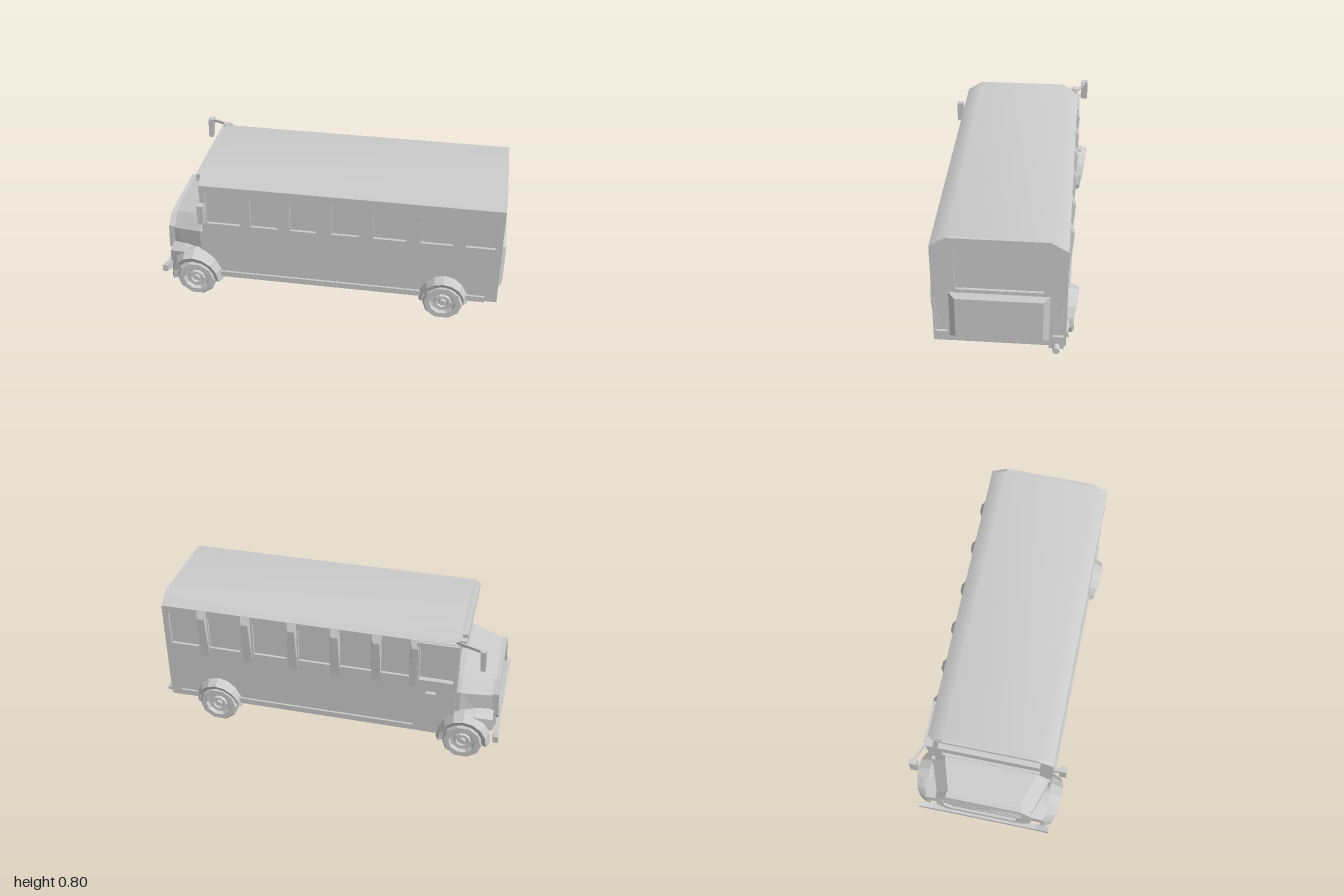
import * as THREE from 'three';

const flat = new THREE.MeshStandardMaterial({ color: 0xcccccc, flatShading: true, side: THREE.DoubleSide });
const smooth = new THREE.MeshStandardMaterial({ color: 0xcccccc, side: THREE.DoubleSide });

function add(parent, name, geometry, material = flat) {
  const mesh = new THREE.Mesh(geometry, material);
  mesh.name = name;
  parent.add(mesh);
  return mesh;
}

// Box given by its limits on each axis
function box(parent, name, x0, x1, y0, y1, z0, z1) {
  const mesh = add(parent, name, new THREE.BoxGeometry(x1 - x0, y1 - y0, z1 - z0));
  mesh.position.set((x0 + x1) / 2, (y0 + y1) / 2, (z0 + z1) / 2);
  return mesh;
}

// Skin between cross-sections with equal point counts
function loft(sections, { closed = true, caps = true } = {}) {
  const n = sections[0].length, index = [];
  for (let s = 0; s < sections.length - 1; s++) {
    for (let i = 0; i < (closed ? n : n - 1); i++) {
      const a = s * n + i, b = s * n + (i + 1) % n;
      index.push(a, b, a + n, b, b + n, a + n);
    }
  }
  if (caps) {
    const last = (sections.length - 1) * n;
    for (let i = 1; i < n - 1; i++) index.push(0, i + 1, i, last, last + i, last + i + 1);
  }
  const g = new THREE.BufferGeometry();
  g.setAttribute('position', new THREE.Float32BufferAttribute(sections.flat(2), 3));
  g.setIndex(index);
  g.computeVertexNormals();
  return g;
}

const poly = (pts) => pts.map(([x, y]) => new THREE.Vector2(x, y));
const rect = (x0, x1, y0, y1) => [[x0, y0], [x1, y0], [x1, y1], [x0, y1]];

// Flat plate with openings
function plate(outline, holes, depth) {
  const shape = new THREE.Shape(poly(outline));
  holes.forEach((h) => shape.holes.push(new THREE.Path(poly(h))));
  return new THREE.ExtrudeGeometry(shape, { depth, bevelEnabled: false });
}

const WINDOWS = [[-0.715, -0.52], [-0.457, -0.30], [-0.23, -0.08], [0.01, 0.165], [0.245, 0.43], [0.51, 0.69], [0.76, 0.925]];
const FAR_WINDOWS = [[-0.72, -0.53], [-0.475, -0.31], [-0.265, -0.075], [-0.03, 0.16], [0.23, 0.425], [0.505, 0.69], [0.755, 0.925]];
const BODY = [[-0.35, 0.13], [0.35, 0.13], [0.35, 0.745], [0.26, 0.8], [-0.26, 0.8], [-0.35, 0.745]];

function buildBody(bus) {
  // Inner core seen through the openings
  const inner = BODY.map(([z, y]) => [z * 0.95, y > 0.7 ? y - 0.012 : y + 0.002]);
  add(bus, 'glassCore', loft([-0.73, 0.945].map((x) => inner.map(([z, y]) => [x, y, z]))));

  // Walls
  [[1, WINDOWS], [-1, FAR_WINDOWS]].forEach(([s, list]) => {
    const wall = plate(rect(-0.73, 0.945, 0.13, 0.745), list.map(([a, b]) => rect(a, b, 0.495, 0.70)), 0.016);
    add(bus, s > 0 ? 'leftWall' : 'rightWall', wall).position.z = s > 0 ? 0.334 : -0.35;
    box(bus, 'skirtRail', -0.66, 0.89, 0.13, 0.165, s * 0.355 - 0.007, s * 0.355 + 0.007);
  });
  const rearHoles = [rect(-0.225, 0.23, 0.48, 0.72), rect(-0.34, -0.275, 0.19, 0.425), rect(0.28, 0.34, 0.19, 0.43)];
  const rear = add(bus, 'rearWall', plate(BODY, rearHoles, 0.015));
  rear.rotation.y = Math.PI / 2;
  rear.position.x = 0.945;
  const front = add(bus, 'windshieldWall', plate(BODY, [rect(-0.28, 0.28, 0.5, 0.71)], 0.015));
  front.rotation.y = -Math.PI / 2;
  front.position.x = -0.73;

  // Roof with softly shaded shoulders
  const roof = [[0.35, 0.745], [0.26, 0.8], [-0.26, 0.8], [-0.35, 0.745]];
  add(bus, 'roof', loft([0.96, -0.745].map((x) => roof.map(([z, y]) => [x, y, z])), { closed: false, caps: false }), smooth);
  box(bus, 'windshieldVisor', -0.775, -0.745, 0.73, 0.775, -0.28, 0.28);
  box(bus, 'floorPan', -0.72, 0.9, 0.12, 0.131, -0.27, 0.28);

  // Flared posts between the right windows
  for (let i = 0; i < 6; i++) {
    const x = (FAR_WINDOWS[i][1] + FAR_WINDOWS[i + 1][0]) / 2;
    const post = (w) => [[x + w, 0.42, -0.349], [x + w * 0.7, 0.70, -0.372], [x + w, 0.745, -0.349]];
    add(bus, 'windowPost', loft([post(-0.028), post(0.028)]));
  }

  // Door on the right side
  const door = plate(rect(-0.74, -0.512, 0.15, 0.742), [rect(-0.72, -0.53, 0.495, 0.70)], 0.016);
  add(bus, 'door', door).position.z = -0.365;
  box(bus, 'doorHandle', -0.63, -0.575, 0.41, 0.423, -0.388, -0.36);

  // Rear hatch
  const ring = (x, w, y0, y1) => [[x, y0, -w], [x, y0, w], [x, y1, w], [x, y1, -w]];
  add(bus, 'rearHatch', loft([ring(0.958, 0.265, 0.16, 0.46), ring(0.985, 0.23, 0.185, 0.435)]));

  // Exhaust
  box(bus, 'exhaustBracket', 0.87, 0.96, 0.11, 0.132, -0.34, -0.26);
  const pipe = add(bus, 'exhaustPipe', new THREE.CylinderGeometry(0.019, 0.019, 0.12, 12));
  pipe.rotation.z = Math.PI / 2;
  pipe.position.set(0.94, 0.127, -0.3);
}

function buildNose(bus) {
  // Hood widens and rises towards the windshield
  const section = (x, lean, bottom, shoulder, yS, top, yT) => [
    [x - lean, 0.13, -bottom], [x - lean, 0.13, bottom], [x, yS, shoulder], [x, yT, top], [x, yT, -top], [x, yS, -shoulder]];
  add(bus, 'hood', loft([
    section(-0.955, 0.02, 0.25, 0.27, 0.385, 0.2, 0.455),
    section(-0.765, 0, 0.335, 0.335, 0.42, 0.26, 0.494),
    section(-0.74, 0, 0.335, 0.335, 0.42, 0.26, 0.494)]));
  box(bus, 'cowl', -0.765, -0.74, 0.13, 0.43, -0.345, 0.345);

  // Grille frame and slats
  const grille = new THREE.Group();
  grille.name = 'grille';
  const oct = (w, y0, y1, c) => [[-w + c, y0], [w - c, y0], [w, y0 + c], [w, y1 - c], [w - c, y1], [-w + c, y1], [-w, y1 - c], [-w, y0 + c]];
  const frame = add(grille, 'grilleFrame', plate(oct(0.275, 0, 0.265, 0.06), [oct(0.235, 0.035, 0.23, 0.045)], 0.035));
  frame.rotation.y = -Math.PI / 2;
  for (let i = 0; i < 5; i++) box(grille, 'grilleSlat', -0.022, 0.01, 0.052 + i * 0.035, 0.068 + i * 0.035, -0.225, 0.225);
  grille.position.set(-0.95, 0.192, 0);
  grille.rotation.z = -0.06;
  bus.add(grille);

  // Bumper with upswept ends
  box(bus, 'frontBumper', -0.995, -0.965, 0.122, 0.165, -0.31, 0.31);
  box(bus, 'bumperMount', -0.97, -0.9, 0.13, 0.155, -0.2, 0.2);
  [1, -1].forEach((s) => {
    const end = (x, y0, y1, z) => [[x, y0, s * z], [x + 0.03, y0, s * z], [x + 0.03, y1, s * z], [x, y1, s * z]];
    add(bus, 'bumperEnd', loft([end(-0.995, 0.122, 0.165, 0.31), end(-1, 0.145, 0.185, 0.385)]));
  });
}

// Faceted wheel arch centred on the axle
function fender(parent, name, cx, rx, ry, zOut) {
  const sections = [];
  for (let i = 0; i <= 8; i++) {
    const t = -0.08 + (Math.PI + 0.16) * i / 8, c = Math.cos(t), s = Math.sin(t);
    const z = zOut - 0.035 + 0.035 * Math.max(s, 0);
    const at = (k, zz) => [cx + rx * k * c, 0.118 + ry * k * s, zz];
    sections.push([at(1, 0.33), at(1, 0.355), at(0.88, z), at(0.72, z - 0.012), at(0.72, 0.33)]);
  }
  add(parent, name, loft(sections));
}

function buildWheel(name) {
  // Tyre, rim and hub profile: radius, distance along the axle
  const profile = poly([[0.03, -0.04], [0.1, -0.042], [0.117, -0.03], [0.117, 0.03], [0.106, 0.042],
    [0.076, 0.042], [0.07, 0.02], [0.05, 0.018], [0.046, 0.034], [0.034, 0.034], [0.03, 0.022], [0.02, 0.022], [0.016, 0.036], [0, 0.036]]);
  const wheel = new THREE.Group();
  wheel.name = name;
  const tyre = add(wheel, 'tyreAndRim', new THREE.LatheGeometry(profile, 10, Math.PI / 10));
  tyre.rotation.x = Math.PI / 2;
  const axle = add(wheel, 'axleStub', new THREE.CylinderGeometry(0.03, 0.03, 0.06, 10));
  axle.rotation.x = Math.PI / 2;
  axle.position.z = -0.03;
  return wheel;
}

function buildRunningGear(bus) {
  [1, -1].forEach((s) => {
    const side = new THREE.Group();
    side.name = s > 0 ? 'leftRunningGear' : 'rightRunningGear';
    side.scale.z = s;
    fender(side, 'frontFender', -0.8, 0.155, 0.192, 0.425);
    fender(side, 'rearFender', 0.655, 0.14, 0.165, 0.41);
    // Fender block running forward beside the hood
    const slab = (x, y0, y1, z) => [[x, y0, 0.24], [x, y0, z], [x, y1 - 0.02, z], [x, y1, 0.24]];
    add(side, 'fenderNose', loft([slab(-0.955, 0.19, 0.29, 0.345), slab(-0.86, 0.24, 0.312, 0.375), slab(-0.74, 0.24, 0.312, 0.36)]));
    [['frontWheel', -0.8], ['rearWheel', 0.655]].forEach(([name, x]) => {
      const wheel = buildWheel(name);
      wheel.position.set(x, 0.113, 0.347);
      side.add(wheel);
    });
    bus.add(side);
  });
}

function buildMirrors(bus) {
  // Left mirror on a short side arm
  box(bus, 'leftMirrorArm', -0.735, -0.715, 0.585, 0.62, 0.345, 0.39);
  box(bus, 'leftMirror', -0.742, -0.708, 0.535, 0.655, 0.385, 0.425);

  // Right mirror on a long forward arm
  box(bus, 'rightMirrorBracket', -0.775, -0.735, 0.735, 0.775, -0.345, -0.31);
  const bar = (x, z) => [[x, 0.75, z - 0.007], [x, 0.75, z + 0.007], [x, 0.765, z + 0.007], [x, 0.765, z - 0.007]];
  add(bus, 'rightMirrorArm', loft([bar(-0.72, -0.335), bar(-0.88, -0.398)]));
  const face = (x, d) => [[x, 0.645, -0.412], [x, 0.645, -0.37], [x + d, 0.767, -0.37], [x + d, 0.767, -0.412]];
  add(bus, 'rightMirror', loft([face(-0.89, 0.004), face(-0.865, 0.012)]));
}

export function createModel() {
  const bus = new THREE.Group();
  bus.name = 'bus';
  buildBody(bus);
  buildNose(bus);
  buildRunningGear(bus);
  buildMirrors(bus);
  return bus;
}
